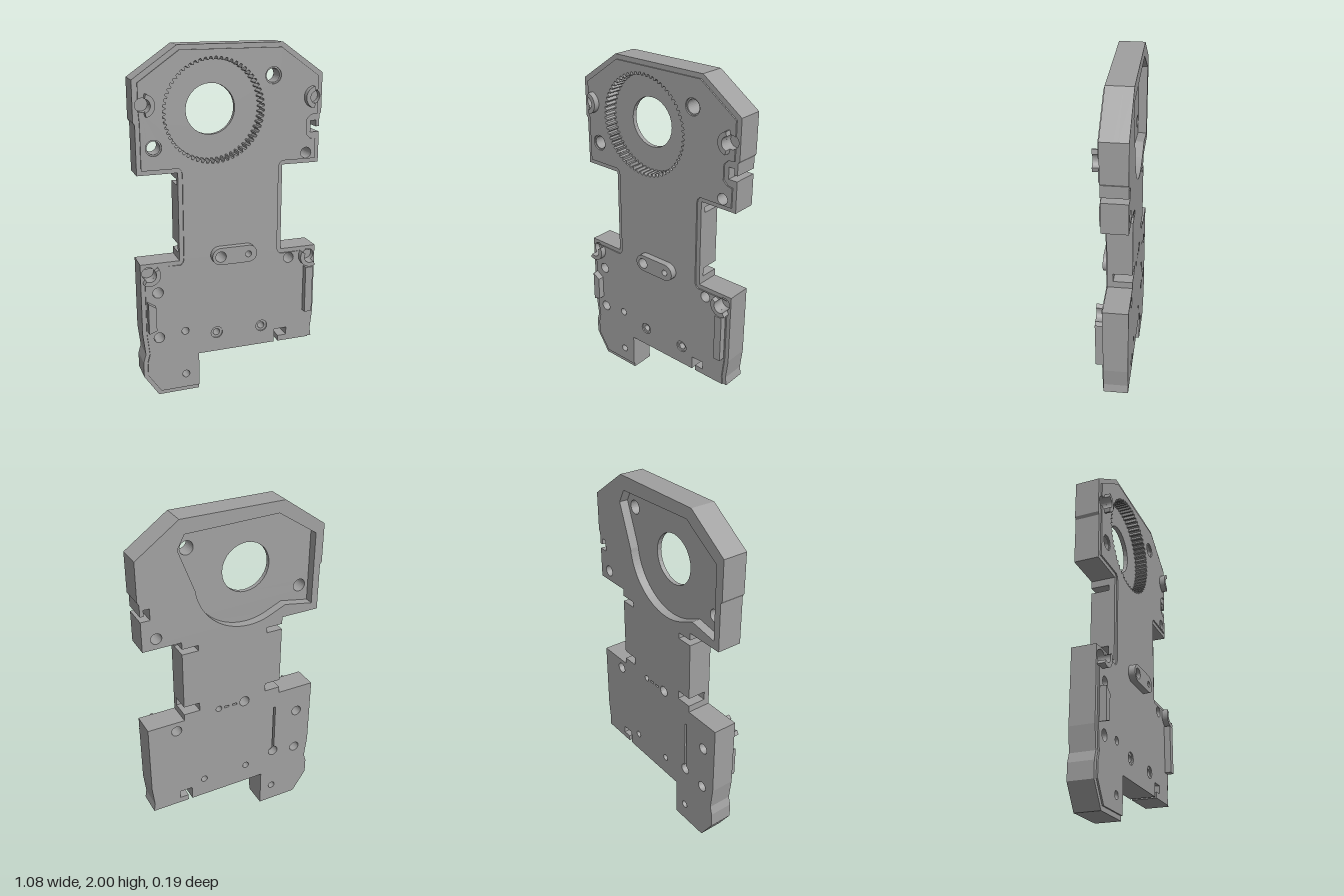
import * as THREE from 'three';

const GREY = new THREE.MeshStandardMaterial({ color: 0xa0a0a0 });
GREY.name = 'grey';

const GEAR = [-0.097, 1.65];
const BOSS_R = 0.037;

// corner sockets: x, y, direction the guard wall faces
const sockets = [
  [-0.49, 1.7, 0], [0.487, 1.7, Math.PI],
  [-0.485, 0.765, -Math.PI / 4], [0.48, 0.765, -Math.PI * 0.75],
];
// through holes: x, y, radius
const upperHoles = [[0.24, 1.825, 0.038], [-0.435, 1.47, 0.036]]; // open into the rear recess
const pillHoles = [[-0.075, 0.83, 0.031], [0.09, 0.83, 0.018]];
const plainHoles = [
  [0.445, 1.385, 0.031], [0.355, 0.762, 0.031], [-0.435, 0.645, 0.031],
  [-0.435, 0.368, 0.031], [-0.28, 0.387, 0.022], [-0.28, 0.11, 0.022],
];
const sunkHoles = [[-0.09, 0.348, 0.02], [0.19, 0.348, 0.02]];

const toPath = (pts) => new THREE.Path(pts.map((p) => new THREE.Vector2(p[0], p[1])));

function arc(cx, cy, r, from, to, n = 24) {
  const pts = [];
  for (let i = 0; i <= n; i++) {
    const a = from + ((to - from) * i) / n;
    pts.push([cx + r * Math.cos(a), cy + r * Math.sin(a)]);
  }
  return pts;
}
const circle = ([x, y, r], grow = 0) => arc(x, y, r + grow, 0, Math.PI * 2, 28).slice(0, -1);
const rect = (x0, y0, x1, y1) => [[x0, y0], [x1, y0], [x1, y1], [x0, y1]];

function slab(name, outline, holes, z0, z1) {
  const shape = new THREE.Shape(outline.map((p) => new THREE.Vector2(p[0], p[1])));
  shape.holes = holes.map(toPath);
  const geo = new THREE.ExtrudeGeometry(shape, { depth: z1 - z0, bevelEnabled: false });
  geo.translate(0, 0, z0);
  const mesh = new THREE.Mesh(geo, GREY);
  mesh.name = name;
  return mesh;
}

// hooked cable notch in the bottom edge
const bottomNotch = [[0.272, 0.23], [0.272, 0.312], [0.35, 0.312], [0.35, 0.265], [0.297, 0.265], [0.297, 0.23]];

// outer silhouette, optionally with slots cut into the neck sides
function bodyOutline(slotted) {
  const neck = (s) => (slotted
    ? [[0.305, 0.86], [0.21, 0.86], [0.21, 0.91], [0.305, 0.91],
      [0.305, 1.25], [0.21, 1.25], [0.21, 1.283], [0.305, 1.283]].map(([x, y]) => [s * x, y])
    : []);
  return [
    [-0.445, 0], [-0.2, 0], [-0.2, 0.23], ...bottomNotch,
    [0.52, 0.23], [0.512, 0.28], [0.525, 0.4], [0.525, 0.82], [0.305, 0.82],
    ...neck(1),
    [0.305, 1.325], [0.525, 1.325],
    // hooked notch in the side
    [0.525, 1.5], [0.472, 1.5], [0.472, 1.565], [0.505, 1.565], [0.505, 1.53], [0.525, 1.53],
    [0.525, 1.595], [0.535, 1.61], [0.535, 1.83], [0.295, 2], [-0.295, 2],
    [-0.54, 1.83], [-0.54, 1.61], [-0.53, 1.595], [-0.53, 1.325], [-0.305, 1.325],
    ...neck(-1).reverse(),
    [-0.305, 0.82], [-0.53, 0.82], [-0.53, 0.4], [-0.515, 0.27], [-0.53, 0.22], [-0.53, 0.13],
  ];
}

// raised front face, set in from the edge and bitten out round the sockets
function faceOutline() {
  const a = (55 * Math.PI) / 180;
  const rightBite = ([x, y]) => arc(x, y, BOSS_R, -a, a - Math.PI * 2);
  const leftBite = ([x, y]) => arc(x, y, BOSS_R, Math.PI - a, a - Math.PI);
  return [
    [-0.432, 0.025], [-0.2, 0.025], [-0.2, 0.23], ...bottomNotch,
    [0.495, 0.23], [0.488, 0.28], [0.501, 0.4], ...rightBite(sockets[3]),
    [0.3, 0.795], [0.285, 0.81], [0.28, 0.83], [0.28, 1.315], [0.285, 1.335], [0.3, 1.35],
    [0.501, 1.35], [0.501, 1.46], [0.47, 1.465], [0.445, 1.49], [0.445, 1.575], [0.47, 1.6],
    [0.508, 1.605], ...rightBite(sockets[1]),
    [0.508, 1.815], [0.285, 1.974], [-0.285, 1.974], [-0.511, 1.815], ...leftBite(sockets[0]),
    [-0.506, 1.6], [-0.506, 1.35], [-0.3, 1.35], [-0.285, 1.335], [-0.28, 1.315],
    [-0.28, 0.83], [-0.285, 0.81], [-0.3, 0.795], ...leftBite(sockets[2]),
    [-0.506, 0.4], [-0.492, 0.27], [-0.506, 0.22], [-0.506, 0.137],
  ];
}

// internal ring gear
function gearPath() {
  const teeth = 60, pts = [];
  for (let i = 0; i < teeth; i++) {
    for (const [t, r] of [[0, 0.27], [0.25, 0.27], [0.45, 0.286], [0.8, 0.286]]) {
      const a = ((i + t) / teeth) * Math.PI * 2;
      pts.push([GEAR[0] + r * Math.cos(a), GEAR[1] + r * Math.sin(a)]);
    }
  }
  return pts;
}

export function createModel() {
  const group = new THREE.Group();
  group.name = 'gearHousingPlate';
  const add = (...args) => group.add(slab(...args));

  const lower = [...pillHoles, ...plainHoles, ...sunkHoles].map((h) => circle(h));
  const through = [...lower, ...upperHoles.map((h) => circle(h))];
  const gear = gearPath();
  const slotted = bodyOutline(true);

  // rear recess: straight round the top, curved below the gear
  const recess = [
    [0.31, 1.845], [0.27, 1.92], [-0.26, 1.935], [-0.49, 1.785], [-0.49, 1.37], [-0.32, 1.4],
    ...arc(GEAR[0], GEAR[1], 0.32, (-112 * Math.PI) / 180, (-8 * Math.PI) / 180),
  ];
  // rear groove ending in a wider bore, plus two small slits
  const groove = [
    [-0.273, 0.72], [-0.287, 0.72],
    ...arc(-0.28, 0.39, 0.031, Math.PI / 2 + 0.228, Math.PI * 2.5 - 0.228),
  ];
  const rearHoles = [...pillHoles, ...plainHoles.filter((h) => h[1] !== 0.387), ...sunkHoles].map((h) => circle(h));
  const slits = [rect(-0.025, 0.825, 0.005, 0.836), rect(0.025, 0.825, 0.055, 0.836)];

  // body in layers from back to front
  add('rearLayer', slotted, [recess, groove, ...slits, ...rearHoles], -0.095, -0.045);
  add('gearFloor', slotted, [circle([...GEAR, 0.14]), ...through], -0.045, -0.02);
  add('gearLayer', slotted, [gear, ...through], -0.02, 0.012);
  add('frontLayer', bodyOutline(false),
    [gear, ...through, ...sockets.map(([x, y]) => circle([x, y, BOSS_R]))], 0.012, 0.045);
  add('raisedFace', faceOutline(), [
    gear,
    ...[...pillHoles, ...plainHoles].map((h) => circle(h)),
    ...upperHoles.map((h) => circle(h, 0.008)),
    ...sunkHoles.map((h) => circle(h, 0.015)),
  ], 0.045, 0.053);

  // pill-shaped spacer
  add('pillSpacer', [
    ...arc(0.092, 0.832, 0.05, -Math.PI / 2, Math.PI / 2),
    ...arc(-0.075, 0.832, 0.05, Math.PI / 2, Math.PI * 1.5),
  ], pillHoles.map((h) => circle(h)), 0.05, 0.092);

  // curved guard walls round the sockets
  for (const [x, y, dir] of sockets) {
    add('socketGuard', [
      ...arc(x, y, 0.062, dir - 1.35, dir + 1.35),
      ...arc(x, y, BOSS_R, dir + 1.35, dir - 1.35),
    ], [], 0.045, 0.087);
  }

  // edge rails
  add('rightRail', [[0.452, 0.415], [0.497, 0.415], [0.497, 0.7], [0.452, 0.7]], [], 0.05, 0.09);
  add('leftRail', [[-0.5, 0.415], [-0.455, 0.43], [-0.455, 0.57], [-0.5, 0.6]], [], 0.05, 0.09);

  return group;
}
